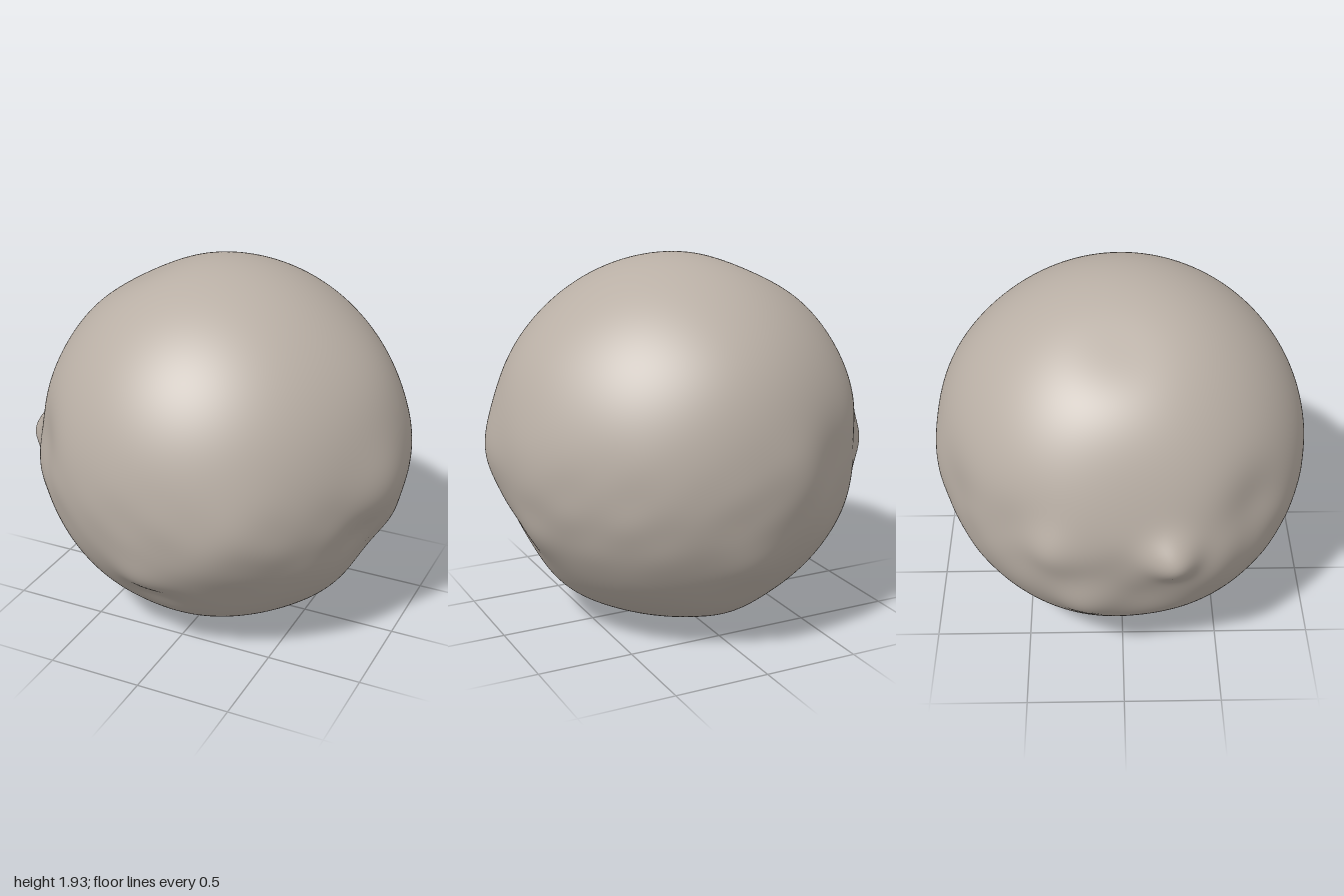
import * as THREE from 'three';
import { mergeVertices } from 'three/addons/utils/BufferGeometryUtils.js';

const RADIUS = 0.965;

// Each mound or dent: direction x, y, z, height, angular width
const LUMPS = [
  // right side: knobs and hollows
  [-0.97, -0.06, 0.24, 0.088, 0.09],
  [-0.92, -0.04, -0.37, 0.038, 0.1],
  [-0.93, 0.25, 0.05, -0.035, 0.28],
  [-0.94, -0.22, -0.05, -0.03, 0.13],
  [-0.87, -0.41, -0.2, 0.035, 0.11],
  [-0.9, -0.38, 0.12, -0.03, 0.12],
  [-0.85, -0.2, 0.45, 0.025, 0.12],
  [-0.73, 0.1, 0.66, -0.035, 0.14],
  [-0.8, 0, -0.55, -0.025, 0.15],
  [-0.42, 0.85, 0, -0.028, 0.18],
  [-0.55, -0.8, 0.1, -0.02, 0.22],
  // front
  [-0.03, -0.43, 0.87, 0.032, 0.11],
  [-0.04, -0.6, 0.76, -0.035, 0.13],
  [0.3, -0.28, 0.9, 0.018, 0.16],
  [0.5, -0.1, 0.84, 0.022, 0.16],
  [0.45, -0.55, 0.7, -0.025, 0.2],
  // left side
  [0.98, -0.02, 0.18, 0.046, 0.16],
  [0.9, 0.43, 0, 0.03, 0.25],
  [0.96, 0, -0.25, 0.03, 0.2],
  [0.9, -0.25, 0.3, -0.025, 0.12],
  [0.88, -0.35, -0.2, 0.025, 0.12],
  [0.85, -0.45, 0.05, -0.022, 0.12],
  [0.62, -0.76, 0, 0.025, 0.18],
  // back
  [-0.23, 0, -0.95, 0.016, 0.14],
  [-0.48, 0, -0.85, -0.03, 0.16],
  [0, -0.46, -0.87, 0.025, 0.13],
  [0, -0.78, -0.6, 0.025, 0.15],
  [0, 0.5, -0.85, 0.018, 0.25],
].map(([x, y, z, height, width]) => ({ dir: new THREE.Vector3(x, y, z).normalize(), height, width }));

// Distance from the centre along a unit direction
function surfaceRadius(d) {
  let r = RADIUS;
  for (const { dir, height, width } of LUMPS) {
    r += height * Math.exp((d.dot(dir) - 1) / (width * width));
  }
  // Fine ripples in a belt just below the middle
  const belt = Math.exp(-(((d.y + 0.2) / 0.25) ** 2));
  return r + 0.004 * belt * Math.sin(13 * d.x + 4 * d.y) * Math.sin(15 * d.y + 2) * Math.cos(12 * d.z);
}

export function createModel() {
  const group = new THREE.Group();
  group.name = 'boulder';
  const stone = new THREE.MeshStandardMaterial({ color: 0xb9afa5 });
  stone.name = 'warm grey stone';

  // Shared vertices keep the surface smooth
  let geometry = new THREE.IcosahedronGeometry(1, 48);
  geometry.deleteAttribute('normal');
  geometry.deleteAttribute('uv');
  geometry = mergeVertices(geometry, 1e-5);

  // Push every point in or out along its own direction
  const position = geometry.attributes.position;
  const d = new THREE.Vector3();
  for (let i = 0; i < position.count; i++) {
    d.fromBufferAttribute(position, i).normalize();
    d.multiplyScalar(surfaceRadius(d));
    position.setXYZ(i, d.x, d.y + RADIUS, d.z);
  }
  geometry.computeVertexNormals();

  const mesh = new THREE.Mesh(geometry, stone);
  mesh.name = 'lumpyBody';
  group.add(mesh);
  return group;
}
